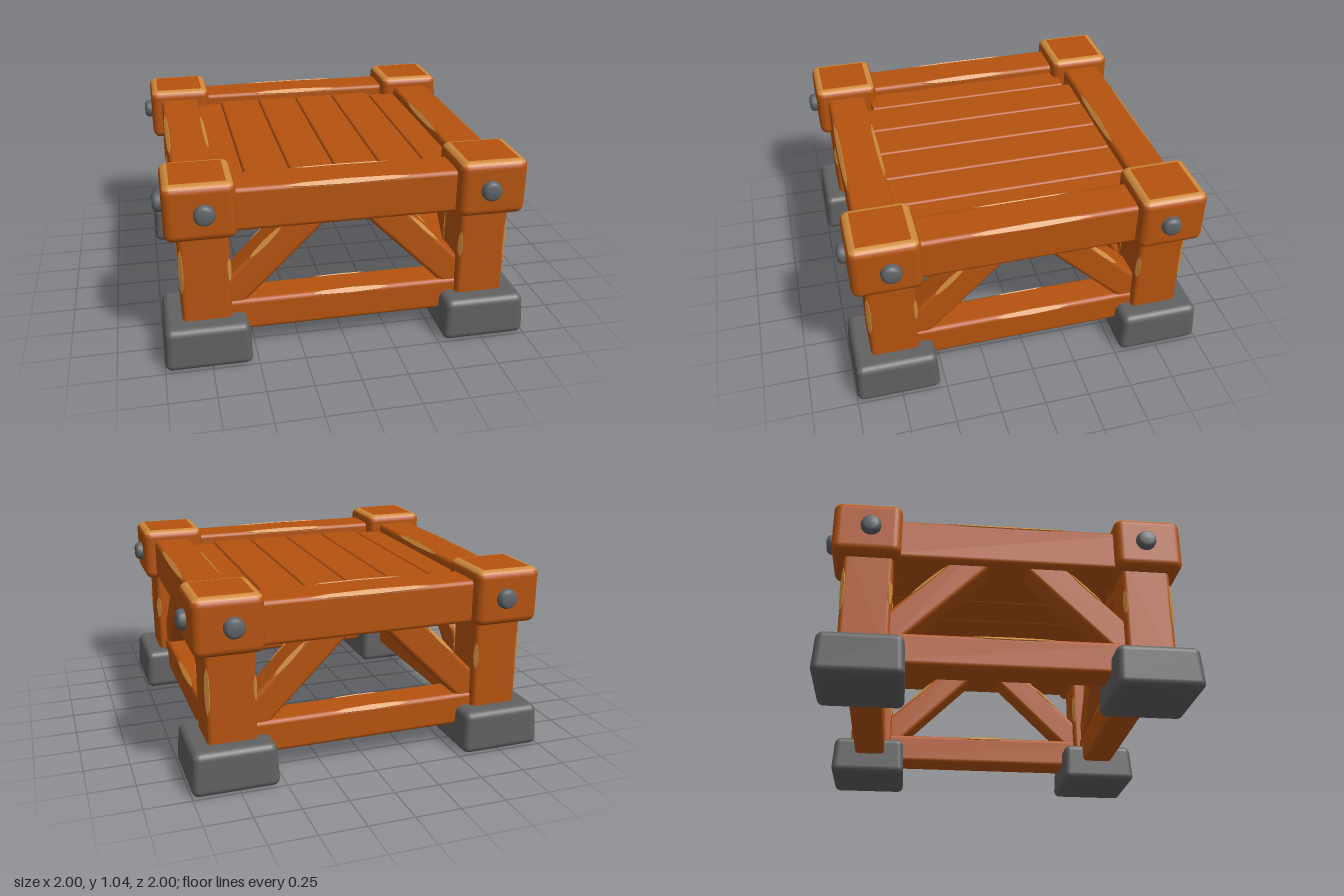
import * as THREE from 'three';
import { RoundedBoxGeometry } from 'three/addons/geometries/RoundedBoxGeometry.js';

const material = (name, color) => {
  const m = new THREE.MeshStandardMaterial({ color });
  m.name = name;
  return m;
};
const wood = material('orange wood', 0xb5530f);
const worn = material('worn wood edge', 0xd08a3c);
const stone = material('grey stone', 0x626262);
const steel = material('grey steel', 0x5e6367);

function mesh(name, geometry, mat, x = 0, y = 0, z = 0) {
  const m = new THREE.Mesh(geometry, mat);
  m.name = name;
  m.position.set(x, y, z);
  return m;
}

// Softly rounded timber along x. Each wear entry: [ySide, zSide, length, offset].
function beam(name, length, h, w, wear = []) {
  const g = new THREE.Group();
  g.name = name;
  const r = 0.025;
  g.add(mesh(name + 'Timber', new RoundedBoxGeometry(length, h, w, 2, r), wood));
  for (const [sy, sz, len, offset] of wear) {
    const chip = new THREE.CylinderGeometry(0.5, 0.5, 0.006, 8);
    chip.scale(len, 1, 0.03);
    const m = mesh(name + 'Wear', chip, worn, offset,
      sy * (h / 2 - r * 0.3), sz * (w / 2 - r * 0.3));
    m.rotation.x = Math.atan2(sz, sy);
    g.add(m);
  }
  return g;
}

// Rounded block, slightly narrower at the top
function footGeometry() {
  const geo = new RoundedBoxGeometry(0.47, 0.24, 0.47, 4, 0.04);
  const p = geo.attributes.position;
  for (let i = 0; i < p.count; i++) {
    const s = 0.97 - (p.getY(i) / 0.12) * 0.03;
    p.setX(i, p.getX(i) * s);
    p.setZ(i, p.getZ(i) * s);
  }
  return geo;
}

// Cap block whose upper bevel uses the second material
function capGeometry() {
  const size = 0.37, height = 0.31;
  const geo = new RoundedBoxGeometry(size, height, size, 4, 0.045);
  const p = geo.attributes.position;
  const mid = (get, i) => (p[get](i) + p[get](i + 1) + p[get](i + 2)) / 3;
  geo.clearGroups();
  for (let i = 0; i < p.count; i += 3) {
    const edge = Math.max(Math.abs(mid('getX', i)), Math.abs(mid('getZ', i)));
    const isWorn = mid('getY', i) > height / 2 - 0.02 && edge > size / 2 - 0.045;
    geo.addGroup(i, 3, isWorn ? 1 : 0);
  }
  return geo;
}

// Domed bolt head, axis along y
function boltGeometry() {
  const profile = [[0.055, 0], [0.055, 0.035], [0.048, 0.05], [0.034, 0.058], [0, 0.06]];
  return new THREE.LatheGeometry(profile.map(([x, y]) => new THREE.Vector2(x, y)), 20);
}

const footGeo = footGeometry();
const capGeo = capGeometry();
const boltGeo = boltGeometry();

// One corner post with foot, cap and bolts
function corner() {
  const g = new THREE.Group();
  g.name = 'corner';
  g.add(mesh('foot', footGeo, stone, 0.765, 0.12, 0.765));

  const post = beam('post', 0.6, 0.265, 0.265,
    [[1, 1, 0.15, 0.06], [-1, 1, 0.26, 0.05], [1, -1, 0.2, 0.05], [-1, -1, 0.14, 0.04]]);
  post.rotation.z = Math.PI / 2;
  post.position.set(0.757, 0.48, 0.757);
  g.add(post);

  g.add(mesh('cap', capGeo, [wood, worn], 0.77, 0.885, 0.77));

  const frontBolt = mesh('frontBolt', boltGeo, steel, 0.75, 0.885, 0.94);
  frontBolt.rotation.x = Math.PI / 2;
  const sideBolt = mesh('sideBolt', boltGeo, steel, 0.94, 0.885, 0.75);
  sideBolt.rotation.z = -Math.PI / 2;
  g.add(frontBolt, sideBolt);
  return g;
}

// One side frame: two rails and two diagonal braces
function sideFrame() {
  const g = new THREE.Group();
  g.name = 'sideFrame';
  const top = beam('topRail', 1.3, 0.24, 0.23, [[1, 1, 0.68, 0], [1, -1, 0.56, 0]]);
  top.position.set(0, 0.86, 0.775);
  const lower = beam('lowerRail', 1.3, 0.185, 0.19, [[1, 1, 0.44, 0.03], [1, -1, 0.3, 0]]);
  lower.position.set(0, 0.218, 0.757);
  g.add(top, lower);

  for (const side of [1, -1]) {
    const brace = beam('brace', 0.85, 0.17, 0.17, [[1, 1, 0.24, 0], [1, -1, 0.2, 0]]);
    brace.rotation.z = -side * Math.PI / 4;
    brace.position.set(side * 0.378, 0.582, 0.757);
    g.add(brace);
  }
  return g;
}

export function createModel() {
  const model = new THREE.Group();
  model.name = 'woodenPlatform';

  // Four identical quarters around the centre
  for (let i = 0; i < 4; i++) {
    const quarter = new THREE.Group();
    quarter.name = 'quarter';
    quarter.add(corner(), sideFrame());
    quarter.rotation.y = i * Math.PI / 2;
    model.add(quarter);
  }

  // Deck planks running front to back
  const plankGeo = new RoundedBoxGeometry(0.247, 0.08, 1.36, 2, 0.015);
  for (let i = 0; i < 6; i++) {
    const inset = i === 0 || i === 5;
    const plank = mesh('plank', plankGeo, wood, (i - 2.5) * 0.25 - 0.003, 0.89, 0);
    if (inset) plank.scale.z = 0.92;
    model.add(plank);
  }
  return model;
}
